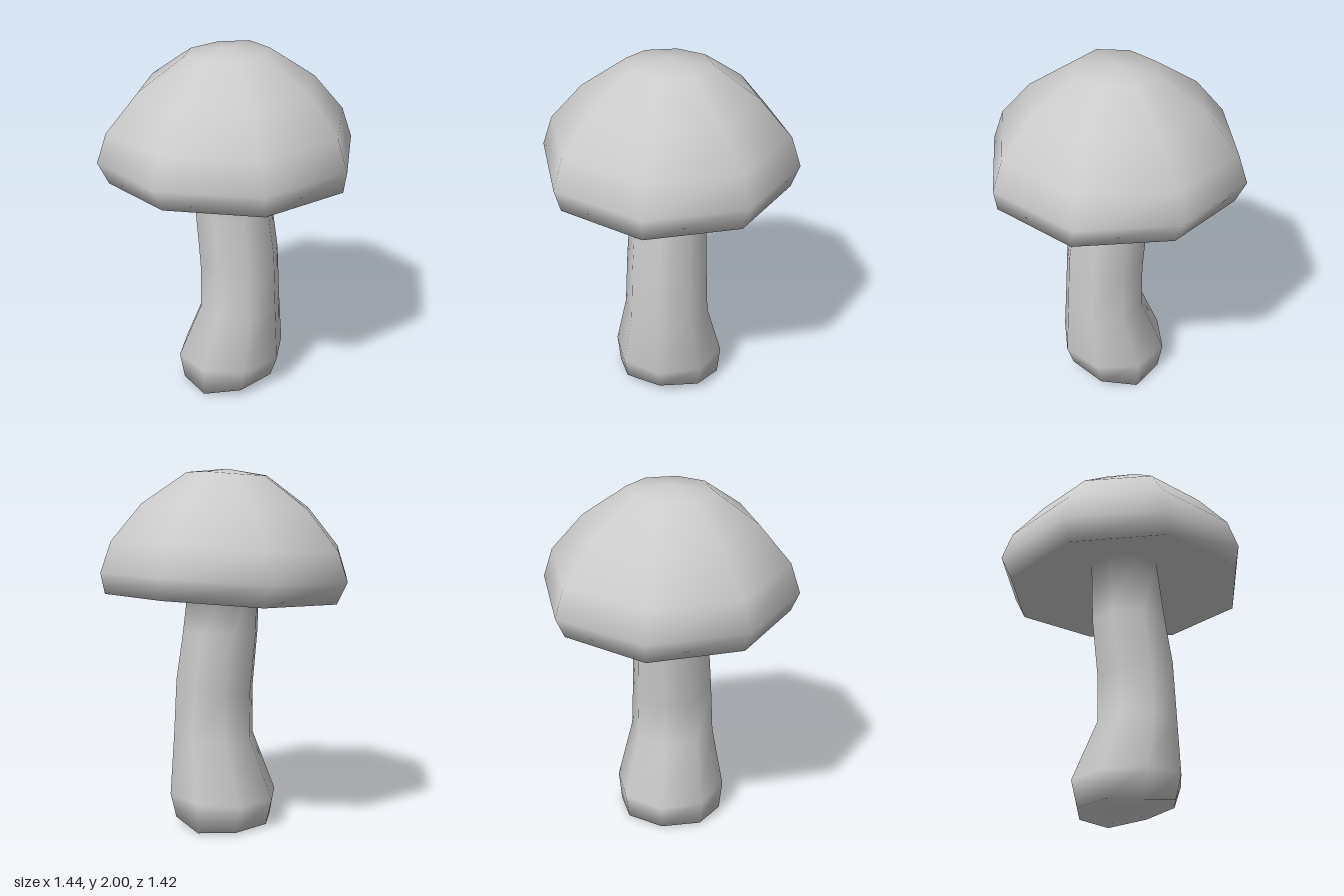
import * as THREE from 'three';

const SIDES = 8;

// Point on a bent octagonal ring: [xLeft, yLeft, xRight, yRight, zRadius, yMiddle]
function ringPoint([xl, yl, xr, yr, rz, ym], i) {
  const a = (i / SIDES) * Math.PI * 2;
  const c = Math.cos(a);
  const y = ym + (c > 0 ? (yr - ym) * c : (ym - yl) * c);
  return [(xl + xr) / 2 + ((xr - xl) / 2) * c, y, rz * Math.sin(a)];
}

// Closed smooth skin from a bottom centre, through the rings, to an apex
function loft(bottom, rings, apex) {
  const positions = [], index = [];
  rings.forEach(r => {
    for (let i = 0; i < SIDES; i++) positions.push(...ringPoint(r, i));
  });
  positions.push(...bottom, ...apex);
  const bottomIndex = rings.length * SIDES;
  const last = bottomIndex - SIDES;
  for (let i = 0; i < SIDES; i++) {
    const j = (i + 1) % SIDES;
    index.push(bottomIndex, i, j);
    for (let k = 0; k < last; k += SIDES) {
      const a = k + i, b = k + j;
      index.push(a, a + SIDES, b, b, a + SIDES, b + SIDES);
    }
    index.push(last + i, bottomIndex + 1, last + j);
  }
  const geo = new THREE.BufferGeometry();
  geo.setAttribute('position', new THREE.Float32BufferAttribute(positions, 3));
  geo.setIndex(index);
  geo.computeVertexNormals();
  return geo;
}

export function createModel() {
  // Curved stem with a swollen, slanted foot, its top sunk into the hollow under the cap
  const stem = [
    [-0.25, 0.01, 0.295, 0.06, 0.30, 0],
    [-0.285, 0.155, 0.335, 0.18, 0.317, 0.17],
    [-0.143, 0.50, 0.318, 0.50, 0.242, 0.50],
    [-0.145, 0.75, 0.302, 0.84, 0.23, 0.80],
    [-0.18, 1.10, 0.262, 1.10, 0.217, 1.10],
    [-0.19, 1.45, 0.215, 1.45, 0.203, 1.45],
  ];

  // Domed cap, drooping slightly on one side; its underside rises to the stem
  const cap = [
    [-0.66, 1.28, 0.70, 1.325, 0.665, 1.325],
    [-0.72, 1.40, 0.717, 1.44, 0.71, 1.44],
    [-0.665, 1.56, 0.657, 1.61, 0.655, 1.605],
    [-0.485, 1.78, 0.49, 1.81, 0.475, 1.81],
    [-0.23, 1.96, 0.23, 1.98, 0.23, 1.98],
  ];

  const mushroom = new THREE.Mesh(
    loft([0.02, 0.025, 0], [...stem, ...cap], [0, 2, 0]),
    new THREE.MeshStandardMaterial({ color: 0xcccccc }),
  );
  mushroom.name = 'mushroomStemAndCap';
  return new THREE.Group().add(mushroom);
}
